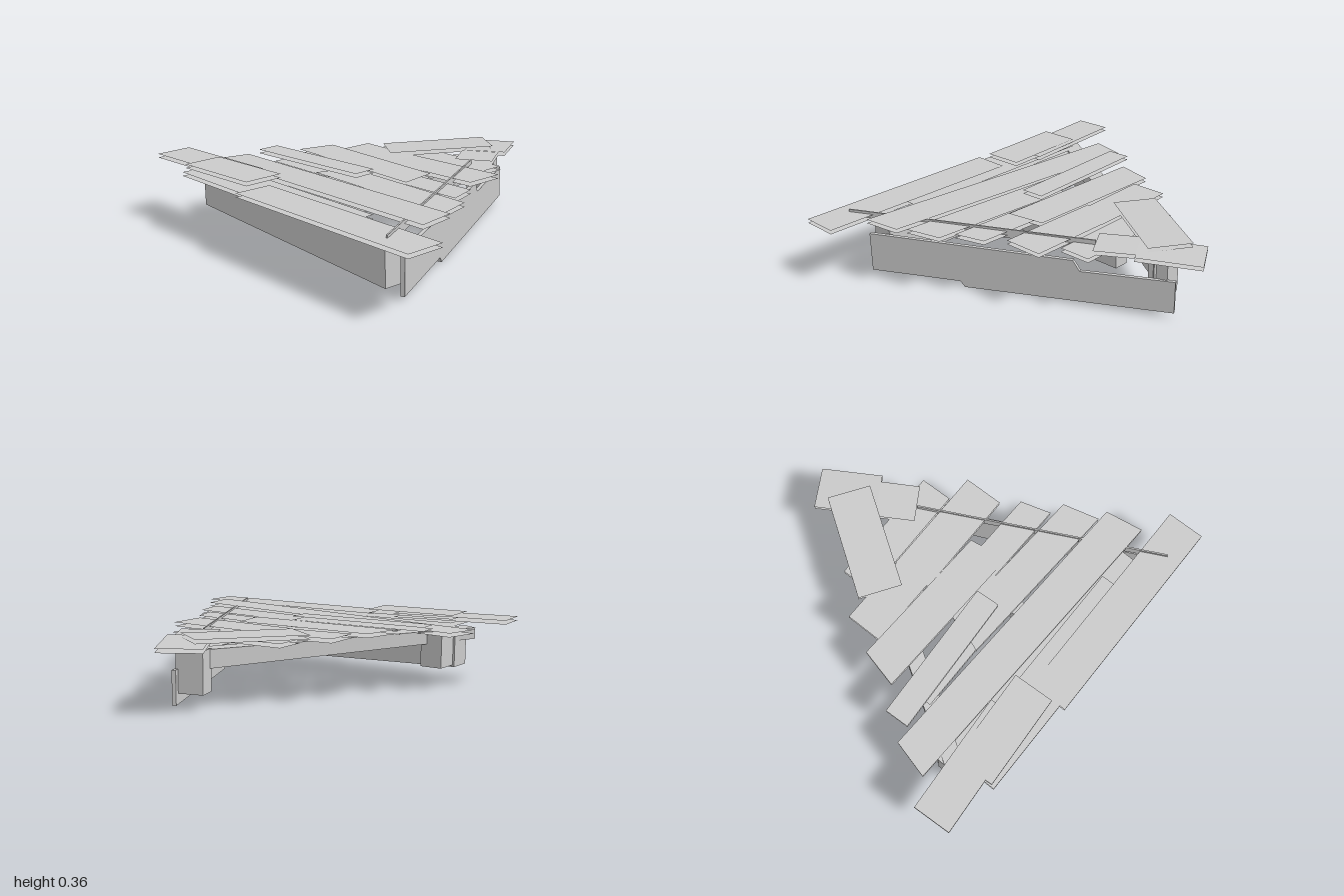
import * as THREE from 'three';

const wood = new THREE.MeshStandardMaterial({ color: 0xcbcbcb, side: THREE.DoubleSide });
wood.name = 'greyWood';

// Flat board of two open sheets between two end points [x, z], top height going from y0 to y1;
// flare makes the front edge longer than the back edge
function plank(from, to, width, y0, y1, flare = 0) {
  const thick = 0.02;
  const dx = to[0] - from[0];
  const dz = to[1] - from[1];
  const length = Math.hypot(dx, dz);
  const geo = new THREE.BoxGeometry(length, thick, width);
  const p = geo.attributes.position;
  for (let i = 0; i < p.count; i++) {
    p.setX(i, p.getX(i) + Math.sign(p.getX(i)) * flare * 2 * p.getZ(i) / width);
  }
  // Keep only the top and bottom faces
  geo.setIndex(Array.from(geo.index.array).slice(12, 24));
  geo.clearGroups();
  const mesh = new THREE.Mesh(geo, wood);
  mesh.position.set((from[0] + to[0]) / 2, (y0 + y1 - thick) / 2, (from[1] + to[1]) / 2);
  mesh.rotation.set(0, Math.atan2(-dz, dx), Math.atan2(y1 - y0, length));
  return mesh;
}

// Upright beam: side profile as [distance, y], running from one [x, z] point towards another
function beam(profile, from, to, thick, offset = 0) {
  const shape = new THREE.Shape(profile.map(([s, y]) => new THREE.Vector2(s, y)));
  const geo = new THREE.ExtrudeGeometry(shape, { depth: thick, bevelEnabled: false });
  geo.translate(0, 0, offset);
  const mesh = new THREE.Mesh(geo, wood);
  mesh.position.set(from[0], 0, from[1]);
  mesh.rotation.y = Math.atan2(from[1] - to[1], to[0] - from[0]);
  return mesh;
}

// Straight-sided beam profile with its own bottom and top at each end
const taper = (length, low0, high0, low1, high1) =>
  [[0, low0], [length, low1], [length, high1], [0, high0]];

// Short corner block under the deck
function block(width, depth, low, high, x, z, turn) {
  const mesh = new THREE.Mesh(new THREE.BoxGeometry(width, high - low, depth), wood);
  mesh.position.set(x, (low + high) / 2, z);
  mesh.rotation.y = turn;
  return mesh;
}

export function createModel() {
  const model = new THREE.Group();
  model.name = 'brokenPlankDeck';
  const add = (name, mesh) => {
    mesh.name = name;
    model.add(mesh);
  };

  // Triangular frame under the deck
  add('frontBeam', beam(taper(1.46, 0.1, 0.29, 0.05, 0.245), [-0.76, 0.58], [0.7, 0.58], 0.13));
  add('leftBeam', beam(taper(1.62, 0.19, 0.285, 0.24, 0.3), [0.02, -0.68], [-0.77, 0.73], 0.09, -0.045));
  add('middleBrace', beam(taper(1.01, 0.19, 0.27, 0.19, 0.27), [0.1, 0.56], [0.06, -0.45], 0.08, -0.04));
  // Right beam with a stepped top and a notched underside
  add('rightBeam', beam(
    [[0, 0.03], [1.086, 0], [1.11, 0.03], [1.606, 0.02], [1.606, 0.23], [0.51, 0.24], [0.475, 0.185], [0, 0.2]],
    [0.02, -0.76], [0.77, 0.66], 0.02));
  add('backBlock', block(0.14, 0.1, 0.08, 0.29, -0.02, -0.65, 0.3));
  add('frontLeftBlock', block(0.12, 0.13, 0.11, 0.28, -0.69, 0.515, 0));

  // Raised seam strip along the right edge of the deck
  add('seamStrip', beam(taper(1.32, 0.29, 0.338, 0.29, 0.338), [0.16, -0.37], [0.8, 0.79], 0.008, -0.004));

  // Boards across the deck, front to back:
  // left x, z, right x, z, width, left and right height, flare
  const crossBoards = [
    [-0.18, 0.79, 1, 0.755, 0.2, 0.325, 0.325, 0],
    [-0.7, 0.755, 0.5, 0.72, 0.24, 0.322, 0.315, 0],
    [-1, 0.75, -0.37, 0.69, 0.2, 0.36, 0.354, 0],
    [-0.7, 0.75, -0.2, 0.71, 0.215, 0.362, 0.362, 0],
    [-0.85, 0.48, 0.8, 0.5, 0.2, 0.31, 0.345, 0.02],
    [-0.75, 0.305, 0.01, 0.24, 0.13, 0.35, 0.352, 0],
    [-0.2, 0.275, 0.7, 0.295, 0.19, 0.323, 0.33, 0.03],
    [-0.59, 0.335, -0.14, 0.32, 0.085, 0.315, 0.315, 0],
    [-0.62, 0.068, 0.22, 0.068, 0.205, 0.338, 0.33, 0.02],
    [-0.16, 0.11, 0.565, 0.1, 0.16, 0.32, 0.328, 0.025],
    [-0.515, -0.128, 0, -0.15, 0.2, 0.33, 0.322, 0],
    [-0.14, -0.14, 0.455, -0.165, 0.215, 0.325, 0.332, 0],
    [-0.35, -0.33, 0.305, -0.365, 0.175, 0.315, 0.315, 0],
  ];
  crossBoards.forEach(([x0, z0, x1, z1, width, y0, y1, flare], i) => {
    add(`crossPlank${i + 1}`, plank([x0, z0], [x1, z1], width, y0, y1, flare));
  });

  // Slanted boards at the back tip
  add('backPlank', plank([-0.1, -0.84], [0.075, -0.565], 0.225, 0.323, 0.337));
  add('backRightPlank', plank([0.055, -0.555], [0.17, -0.38], 0.2, 0.335, 0.335));
  add('backDiagonalPlank', plank([-0.02, -0.69], [-0.32, -0.195], 0.23, 0.355, 0.343));
  return model;
}
